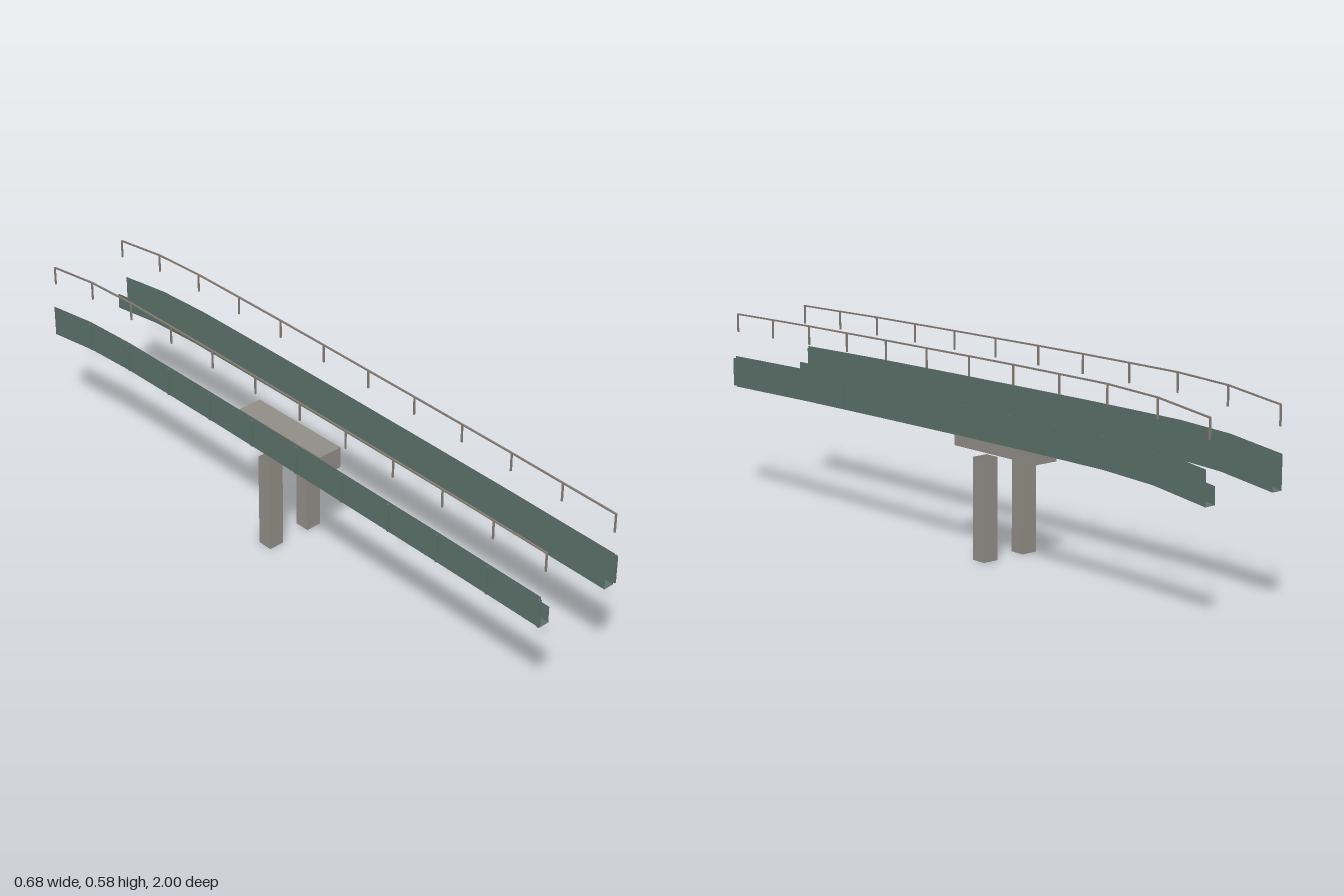
import * as THREE from 'three';

const girderGreen = new THREE.MeshStandardMaterial({ name: 'girder green', color: 0x5b7069, side: THREE.DoubleSide });
const concrete = new THREE.MeshStandardMaterial({ name: 'concrete grey', color: 0x918c86, side: THREE.DoubleSide });
const railGrey = new THREE.MeshStandardMaterial({ name: 'rail grey', color: 0x877d76 });
railGrey.side = THREE.DoubleSide;

// Height of the hand rail at each joint, from the back end to the front end
const RAIL_Y = [0.547, 0.570, 0.578, 0.578, 0.5775, 0.576, 0.574, 0.572, 0.5695, 0.567, 0.563, 0.559];
const LENGTH = 1.977;
const HALF_GAP = 0.125;
const jointZ = (i) => -LENGTH / 2 + (LENGTH * i) / (RAIL_Y.length - 1);

// Sweep a cross-section [x, y below rail] along the joints, with flat faces
function sweep(section, closed) {
  const pos = [];
  const sides = closed ? section.length : section.length - 1;
  const at = (i, k) => {
    const [x, y] = section[k % section.length];
    return [x, RAIL_Y[i] + y, jointZ(i)];
  };
  for (let i = 0; i < RAIL_Y.length - 1; i++) {
    for (let k = 0; k < sides; k++) {
      const a = at(i, k), b = at(i, k + 1), c = at(i + 1, k + 1), d = at(i + 1, k);
      pos.push(...a, ...b, ...c, ...a, ...c, ...d);
    }
  }
  const geo = new THREE.BufferGeometry();
  geo.setAttribute('position', new THREE.Float32BufferAttribute(pos, 3));
  geo.computeVertexNormals();
  return geo;
}

function add(parent, name, geo, mat, x = 0, y = 0, z = 0) {
  const mesh = new THREE.Mesh(geo, mat);
  mesh.name = name;
  mesh.position.set(x, y, z);
  parent.add(mesh);
  return mesh;
}

// Box without its top and bottom faces
function openBox(w, h, d) {
  const geo = new THREE.BoxGeometry(w, h, d);
  const index = Array.from(geo.index.array);
  index.splice(12, 12);
  geo.clearGroups();
  geo.setIndex(index);
  return geo;
}

// One edge of the bridge; s is +1 for the left side, -1 for the right
function bridgeSide(s) {
  const side = new THREE.Group();
  side.name = s > 0 ? 'leftSide' : 'rightSide';
  side.position.x = s * HALF_GAP;

  // Channel girder: tall outer web, floor and low inner lip
  const channel = [[0.011, -0.129], [0.011, -0.223], [-0.022, -0.223], [-0.022, -0.175]];
  add(side, 'girder', sweep(channel.map(([x, y]) => [s * x, y]), false), girderGreen);

  // Hand rail
  const r = 0.0022;
  add(side, 'handRail', sweep([[-r, -2 * r], [r, -2 * r], [r, 0], [-r, 0]], true), railGrey);

  const postGeo = new THREE.BoxGeometry(0.0044, 0.056, 0.0044);
  const stiffenerGeo = new THREE.BoxGeometry(0.007, 0.083, 0.006);
  RAIL_Y.forEach((y, i) => {
    add(side, 'railPost', postGeo, railGrey, 0, y - 0.029, jointZ(i));
    // Web stiffeners on the outer face, none at the back end
    if (i > 0) add(side, 'stiffener', stiffenerGeo, girderGreen, s * 0.0145, y - 0.177, jointZ(i));
  });
  return side;
}

export function createModel() {
  const model = new THREE.Group();
  model.name = 'bridge';

  // The whole bridge runs at a slight skew
  const skew = new THREE.Group();
  skew.name = 'skewedBridge';
  skew.rotation.y = Math.atan2(0.407, 1.935);
  skew.position.x = -0.004;
  model.add(skew);

  skew.add(bridgeSide(1), bridgeSide(-1));

  // Pier: cap block and two open-ended legs
  const pier = new THREE.Group();
  pier.name = 'pier';
  pier.position.z = -0.094;
  skew.add(pier);
  add(pier, 'pierCap', new THREE.BoxGeometry(0.0765, 0.064, 0.337), concrete, 0, 0.322, 0);
  for (const s of [-1, 1]) {
    add(pier, 'pierLeg', openBox(0.049, 0.29, 0.046), concrete, s * 0.0705, 0.145, 0);
  }
  return model;
}
